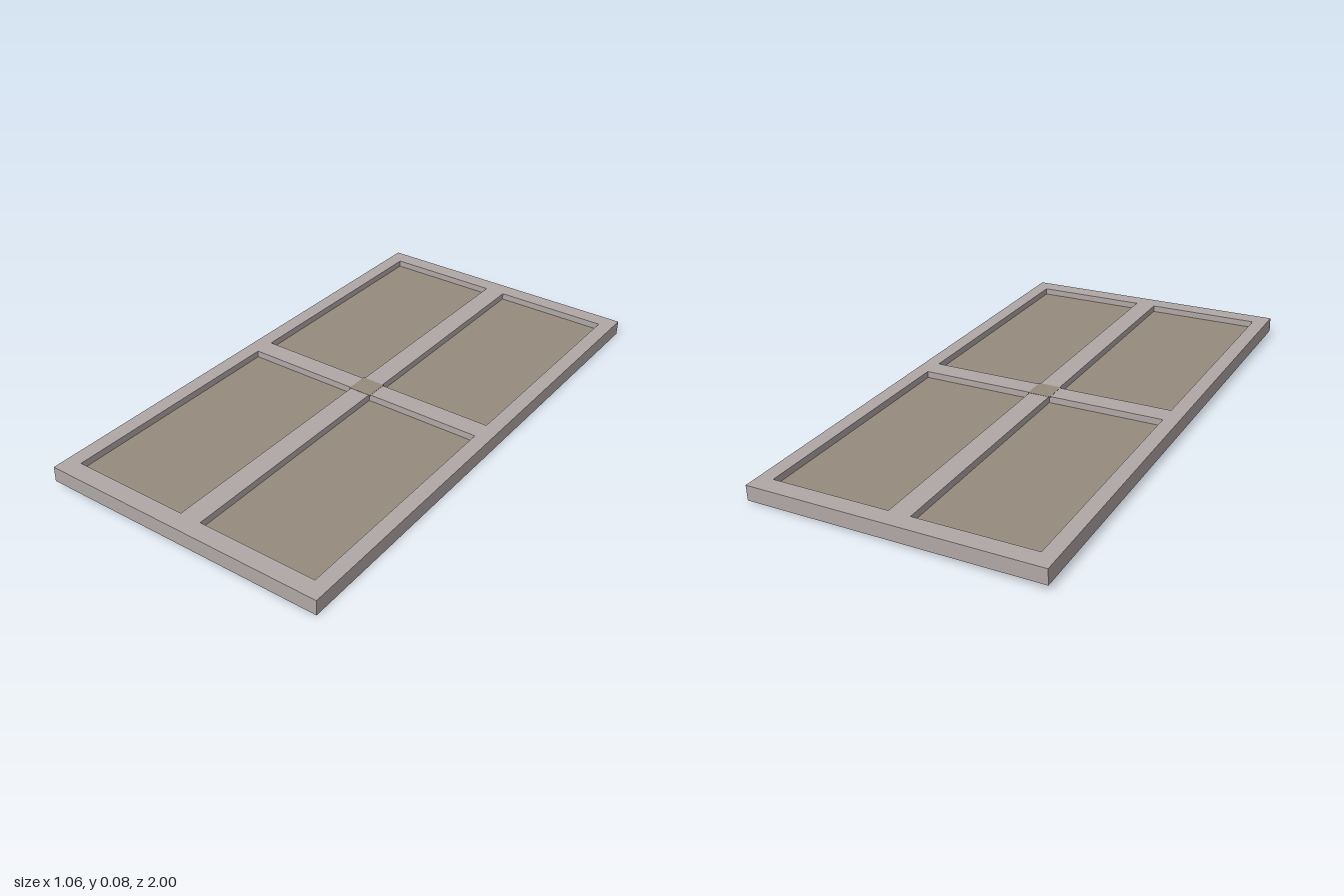
import * as THREE from 'three';

const W = 1.055, L = 2, T = 0.055;             // frame width, length, thickness
const BAR = 0.039, INX = 0.473, INZ = 0.934;   // half bar width, inner frame edges

function rect(Type, x0, z0, x1, z1) {
  const p = new Type();
  p.moveTo(x0, z0);
  p.lineTo(x1, z0);
  p.lineTo(x1, z1);
  p.lineTo(x0, z1);
  p.closePath();
  return p;
}

export function createModel() {
  const frameMat = new THREE.MeshStandardMaterial({ color: 0xb0a8a6 });
  frameMat.name = 'greyFrame';
  const panelMat = new THREE.MeshStandardMaterial({ color: 0x978b7e });
  panelMat.name = 'brownPanel';

  const model = new THREE.Group();
  model.name = 'panelledWindow';
  const add = (name, geometry, material, x = 0, y = 0, z = 0) => {
    const mesh = new THREE.Mesh(geometry, material);
    mesh.name = name;
    mesh.position.set(x, y, z);
    model.add(mesh);
  };

  // Frame with crossing bars: one slab with four openings
  const outline = rect(THREE.Shape, -W / 2, -L / 2, W / 2, L / 2);
  for (const sx of [-1, 1]) {
    for (const sz of [-1, 1]) {
      const xs = [sx * BAR, sx * INX].sort((a, b) => a - b);
      const zs = [sz * BAR, sz * INZ].sort((a, b) => a - b);
      outline.holes.push(rect(THREE.Path, xs[0], zs[0], xs[1], zs[1]));

      // Thin panel set midway through each opening
      add('panel', new THREE.BoxGeometry(INX - BAR, 0.006, INZ - BAR), panelMat,
        sx * (INX + BAR) / 2, 0, sz * (INZ + BAR) / 2);
    }
  }
  const frame = new THREE.ExtrudeGeometry(outline, { depth: T, bevelEnabled: false });
  frame.translate(0, 0, -T / 2);
  frame.rotateX(-Math.PI / 2);
  add('frame', frame, frameMat);

  // Small plate over the crossing of the bars
  add('centrePlate', new THREE.BoxGeometry(0.088, 0.004, 0.088), panelMat, 0, T / 2 - 0.001, 0);

  // The whole piece leans slightly, lower on its left
  model.rotation.z = -0.0237;
  model.position.y = T / 2 + 0.0127;
  const root = new THREE.Group();
  root.name = 'window';
  root.add(model);
  return root;
}
